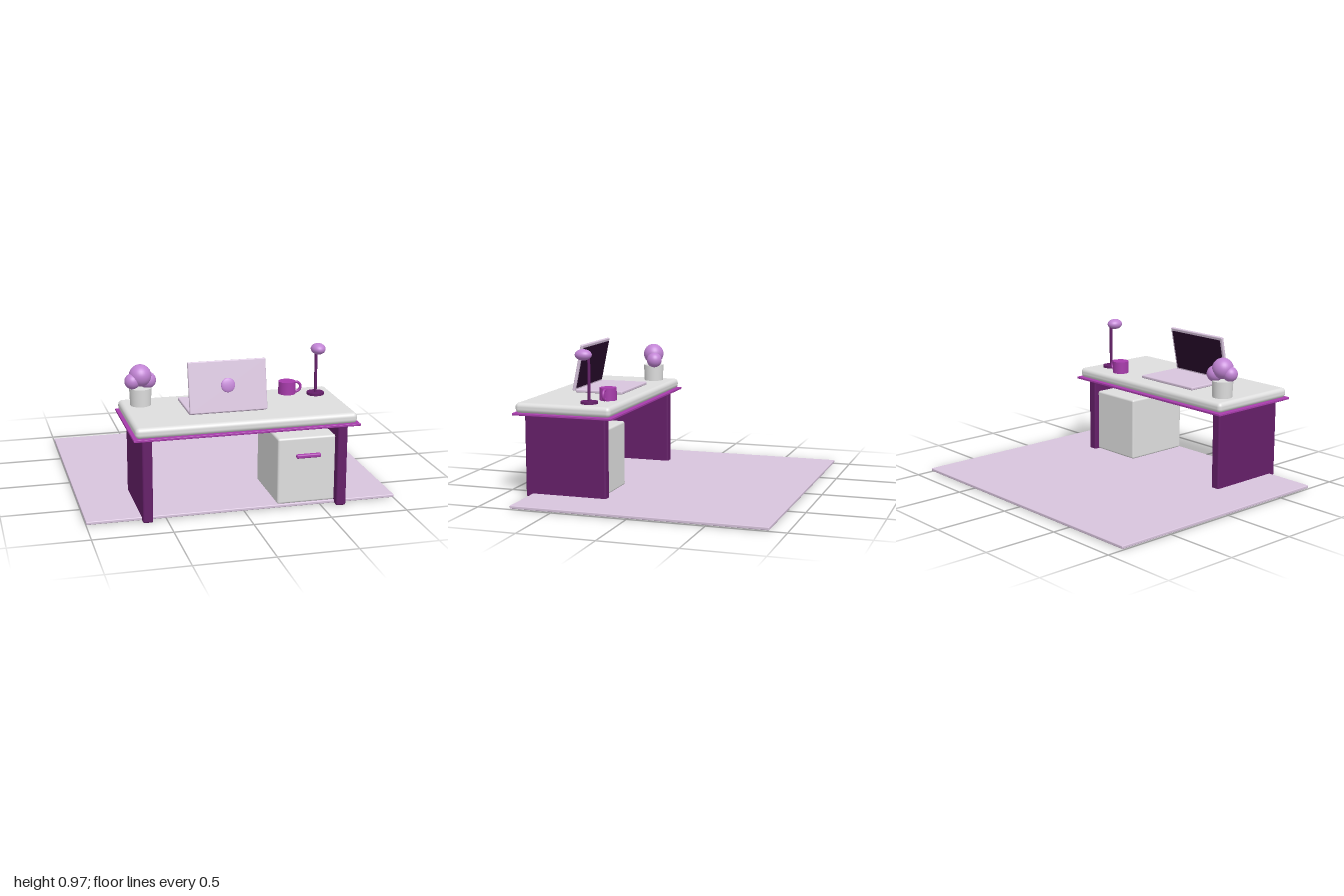
import * as THREE from 'three';
import { RoundedBoxGeometry } from 'three/addons/geometries/RoundedBoxGeometry.js';

const mat = (name, color) => {
  const m = new THREE.MeshStandardMaterial({ color });
  m.name = name;
  return m;
};

export function createModel() {
  const model = new THREE.Group();
  model.name = 'deskSet';
  const white = mat('white', 0xdedede);
  const lilac = mat('lilac', 0xd8c4dd);
  const orchid = mat('orchid', 0xc184d4);
  const magenta = mat('magenta', 0xa83cac);
  const plum = mat('plum', 0x651f69);
  const night = mat('screen dark', 0x260a2a);

  const add = (parent, name, geometry, material, x, y, z) => {
    const mesh = new THREE.Mesh(geometry, material);
    mesh.name = name;
    mesh.position.set(x, y, z);
    parent.add(mesh);
    return mesh;
  };
  const group = (name, x, y, z) => {
    const g = new THREE.Group();
    g.name = name;
    g.position.set(x, y, z);
    model.add(g);
    return g;
  };
  // Rounded box given by its minimum and maximum corners
  const box = (parent, name, material, min, max, radius) => {
    const s = max.map((v, i) => v - min[i]);
    const c = max.map((v, i) => (v + min[i]) / 2);
    return add(parent, name, new RoundedBoxGeometry(...s, 4, radius), material, ...c);
  };
  const ball = (r) => new THREE.SphereGeometry(r, 32, 20);

  // Rug
  box(model, 'rug', lilac, [-1, 0.005, -0.89], [1, 0.025, 0.78], 0.005);

  // Desk: top, trim below it and two slab legs
  const desk = group('desk', 0, 0, 0);
  box(desk, 'deskTop', white, [-0.7, 0.558, 0.221], [0.7, 0.625, 0.877], 0.027);
  box(desk, 'deskTrim', magenta, [-0.714, 0.545, 0.205], [0.714, 0.56, 0.89], 0.003);
  for (const side of [-1, 1]) {
    const leg = box(desk, side < 0 ? 'rightLeg' : 'leftLeg', plum,
      [-0.032, 0, 0.268], [0.032, 0.552, 0.827], 0.012);
    leg.position.x = side * 0.623;
  }

  // Drawer cabinet with its pull
  box(desk, 'cabinet', white, [0.216, 0.024, 0.3], [0.597, 0.458, 0.773], 0.014);
  box(desk, 'drawerHandle', magenta, [0.335, 0.324, 0.765], [0.495, 0.35, 0.793], 0.009);

  // Laptop: base, tilted lid, screen and round lid button
  const laptop = group('laptop', -0.081, 0.625, 0);
  box(laptop, 'laptopBase', lilac, [-0.248, 0, 0.337], [0.248, 0.021, 0.675], 0.007);
  const lid = new THREE.Group();
  lid.name = 'laptopLid';
  lid.position.set(0, 0.011, 0.69);
  lid.rotation.x = -0.205;
  laptop.add(lid);
  box(lid, 'lidShell', lilac, [-0.248, 0, -0.01], [0.248, 0.32, 0.01], 0.006);
  add(lid, 'screen', new THREE.BoxGeometry(0.46, 0.28, 0.008), night, 0, 0.16, -0.01);
  add(lid, 'lidButton', ball(0.045), orchid, 0, 0.166, 0.012).scale.z = 0.26;

  // Plant: tapered pot and three round leaf clumps
  const plant = group('plant', -0.577, 0.625, 0.372);
  add(plant, 'pot', new THREE.CylinderGeometry(0.071, 0.066, 0.112, 40), white, 0, 0.056, 0);
  [[0, 0.191, 0, 0.071], [-0.053, 0.16, 0.015, 0.05], [0.051, 0.152, -0.022, 0.054]]
    .forEach(([x, y, z, r]) => add(plant, 'leafClump', ball(r), orchid, x, y, z));

  // Mug
  const mug = group('mug', 0.399, 0.625, 0.346);
  add(mug, 'mugBody', new THREE.CylinderGeometry(0.056, 0.056, 0.083, 40), magenta, 0, 0.0415, 0);
  add(mug, 'mugHandle', new THREE.TorusGeometry(0.032, 0.009, 14, 36), magenta, 0.06, 0.041, 0);

  // Lamp
  const lamp = group('lamp', 0.574, 0.625, 0.408);
  add(lamp, 'lampBase', new THREE.CylinderGeometry(0.056, 0.056, 0.016, 40), plum, 0, 0.008, 0);
  add(lamp, 'lampPole', new THREE.CylinderGeometry(0.0095, 0.0095, 0.29, 20), plum, 0, 0.155, 0);
  add(lamp, 'lampHead', ball(1), orchid, 0, 0.313, 0.037).scale.set(0.047, 0.036, 0.056);

  return model;
}
